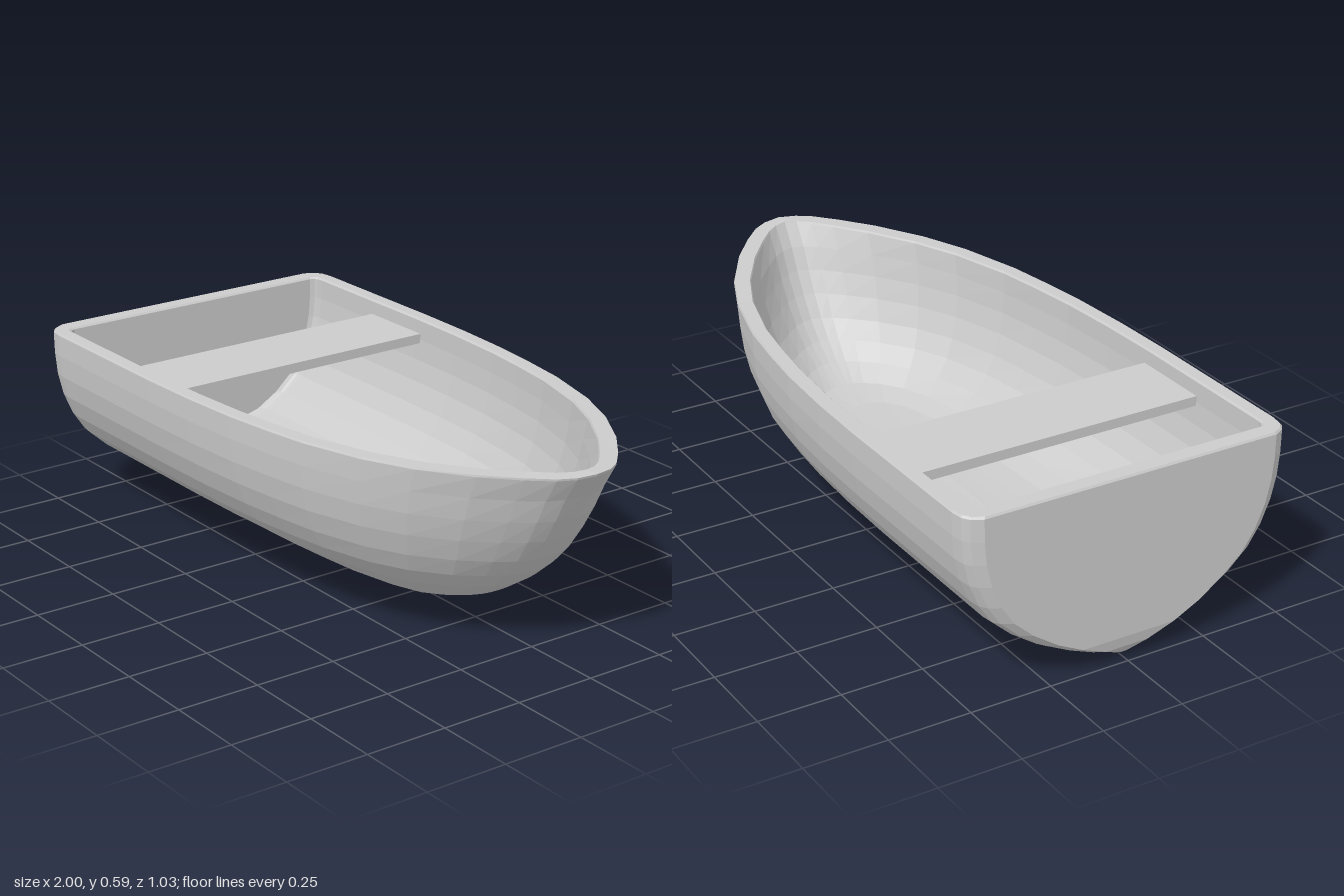
import * as THREE from 'three';

const SHEER_Y = 0.573;
const FLOOR_Y = 0.135;

// Hull levels from keel to gunwale: [height, half beam, bow x, stern x]
const LEVELS = [
  [0, 0, -0.4, -0.94], [0.006, 0.025, -0.18, -0.96], [0.02, 0.06, 0.06, -0.98],
  [0.045, 0.12, 0.31, -0.993], [0.08, 0.2, 0.485, -1], [0.12, 0.28, 0.605, -1],
  [0.175, 0.36, 0.69, -1], [0.23, 0.42, 0.757, -1], [0.29, 0.46, 0.815, -1],
  [0.36, 0.49, 0.867, -1], [0.43, 0.507, 0.912, -1], [0.5, 0.514, 0.951, -1],
  [0.567, 0.515, 0.998, -1],
];

// Plan of the forward half: [x on the gunwale, fraction of the beam]
const TAPER = [
  [-0.4, 1], [-0.2, 0.99], [0, 0.965], [0.15, 0.93], [0.3, 0.885], [0.5, 0.78], [0.65, 0.655],
  [0.8, 0.475], [0.9, 0.315], [0.96, 0.2], [0.988, 0.11], [1, 0],
];

// Rounded transom corner, in units of its radius: [forward, inward]
const CORNER = [[0, 0.9], [0.3, 0.35], [0.65, 0.1], [1.3, 0]];

// One closed outline: transom, rounded corner, side, bow, then the mirrored side
function ring([y, beam, bow, stern, corner = 0.058, sharpness = 1]) {
  const r = Math.min(corner, beam);
  const rise = 0.02 * (y / SHEER_Y) ** 2;
  // The bow is drawn back towards the keel while the sides stay full
  const rake = 1 - bow;
  const power = Math.min(3, 1.4 / Math.max(rake, 0.01));
  const half = [[stern, y, 0]];
  for (const [forward, inward] of CORNER) {
    half.push([stern + r * forward, y, beam - r * inward]);
  }
  for (const [x, f] of TAPER) {
    const u = (x + 0.4) / 1.4;
    half.push([x - rake * u ** power, y + rise * (1 - f), beam * f ** sharpness]);
  }
  const mirrored = half.slice(1, -1).reverse().map(([x, h, z]) => [x, h, -z]);
  return [...half, ...mirrored];
}

// Skin a list of outlines
function loft(rings) {
  const n = rings[0].length;
  const index = [];
  for (let i = 0; i < rings.length - 1; i++) {
    for (let j = 0; j < n; j++) {
      const k = (j + 1) % n;
      const a = i * n + j, b = i * n + k, c = a + n, d = b + n;
      index.push(a, b, d, a, d, c);
    }
  }
  const geometry = new THREE.BufferGeometry();
  geometry.setAttribute('position', new THREE.Float32BufferAttribute(rings.flat(2), 3));
  geometry.setIndex(index);
  geometry.computeVertexNormals();
  return geometry;
}

export function createModel() {
  const boat = new THREE.Group();
  boat.name = 'rowingBoat';
  const material = new THREE.MeshStandardMaterial({ color: 0xcccccc, flatShading: true });

  // Softened gunwale between the outer and inner skins
  const rim = [
    [SHEER_Y, 0.511, 1, -0.996],
    [SHEER_Y, 0.474, 0.957, -0.95, 0.025, 1.15],
  ];

  // Inner skin from the gunwale down, offset by the planking and rounding into a level floor
  const inner = LEVELS.map(([y, beam, bow]) => [
    ((y * 0.93 + 0.04) ** 6 + FLOOR_Y ** 6) ** (1 / 6),
    beam * 0.91,
    bow - 0.045 * (y / SHEER_Y),
    -0.945, 0.025, 1.15,
  ]).reverse();

  const hull = new THREE.Mesh(loft([...LEVELS, ...rim, ...inner].map(ring)), material);
  hull.name = 'hull';
  boat.add(hull);

  // Cross bench
  const seat = new THREE.Mesh(new THREE.BoxGeometry(0.255, 0.03, 0.94), material);
  seat.name = 'seat';
  seat.position.set(-0.503, 0.51, 0);
  boat.add(seat);

  return boat;
}
